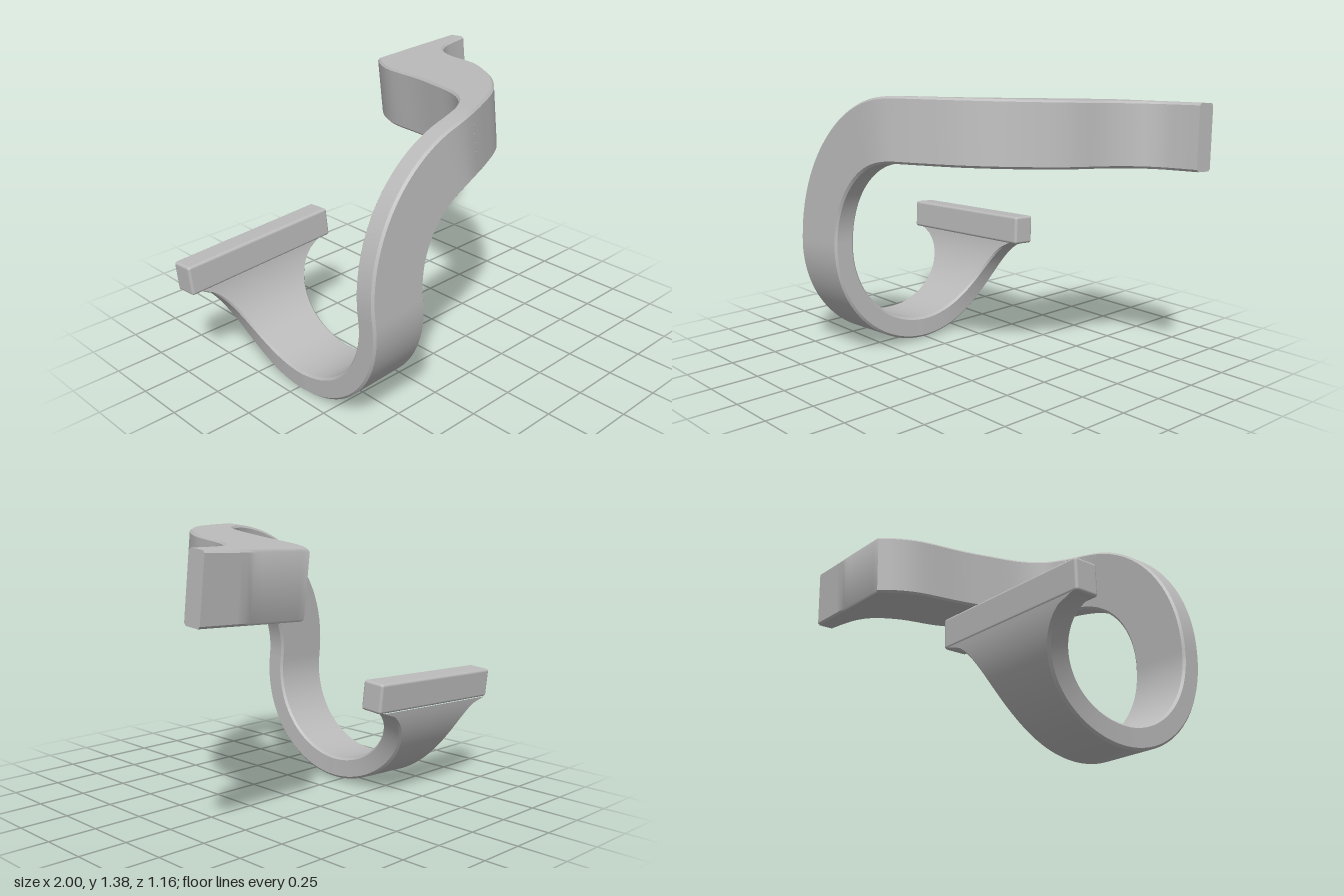
import * as THREE from 'three';
import { toCreasedNormals } from 'three/addons/utils/BufferGeometryUtils.js';
import { RoundedBoxGeometry } from 'three/addons/geometries/RoundedBoxGeometry.js';

const V = (x, y, z) => new THREE.Vector3(x, y, z);
const CHAMFER = 0.011;

// Cut the four corners of a section so the band gets softened edges
function chamfer(corners) {
  const out = [];
  corners.forEach((p, i) => {
    for (const q of [corners[(i + 3) % 4], corners[(i + 1) % 4]]) {
      out.push(p.clone().lerp(q, CHAMFER / p.distanceTo(q)));
    }
  });
  return out;
}

// Skin a row of four-cornered sections (corners counter-clockwise about the travel direction)
function loft(sections, capEnd = false) {
  const rings = sections.map(chamfer);
  const pos = [], idx = [], n = 8;
  rings.forEach(r => r.forEach(p => pos.push(p.x, p.y, p.z)));
  for (let s = 0; s < rings.length - 1; s++) {
    for (let i = 0; i < n; i++) {
      const a = s * n + i, b = s * n + (i + 1) % n;
      idx.push(a, b, b + n, a, b + n, a + n);
    }
  }
  if (capEnd) {
    const e = (rings.length - 1) * n;
    for (let i = 1; i < n - 1; i++) idx.push(e, e + i, e + i + 1);
  }
  const g = new THREE.BufferGeometry();
  g.setAttribute('position', new THREE.Float32BufferAttribute(pos, 3));
  g.setIndex(idx);
  return toCreasedNormals(g, 0.6);
}

// Spline through plan points [x, z]
const planCurve = pts => new THREE.CatmullRomCurve3(pts.map(([x, z]) => V(x, 0, z)), false, 'catmullrom', 0.5);

// Upper arm: S-curved in plan, constant height, widening to a flat end
function armGeometry() {
  const inner = planCurve([[0.045, 0.47], [0.14, 0.405], [0.22, 0.285], [0.28, 0.095],
    [0.32, -0.06], [0.36, -0.28], [0.41, -0.40], [0.47, -0.485]]);
  const outer = planCurve([[0.045, 0.583], [0.16, 0.535], [0.34, 0.445], [0.48, 0.325], [0.58, 0.195],
    [0.66, 0.045], [0.71, -0.155], [0.78, -0.285], [0.86, -0.345], [0.95, -0.37], [1.05, -0.385]]);
  const sections = [], steps = 5;
  for (let k = 0; k <= 10 * steps; k++) {
    const u = k / steps;
    const i = u <= 7 ? inner.getPoint(u / 7) : V(0.47 + 0.58 * (u - 7) / 3, 0, -0.485);
    const o = outer.getPoint(u / 10);
    sections.push([V(i.x, 1.03, i.z), V(i.x, 1.345, i.z), V(o.x, 1.345, o.z), V(o.x, 1.03, o.z)]);
  }
  return loft(sections, true);
}

// Quarter bend in the front plane, easing backwards where it meets the arm
function bendGeometry() {
  const sections = [], steps = 28;
  for (let k = 0; k <= steps; k++) {
    const a = Math.PI / 2 * (1 + k / steps);
    const at = (r, z) => {
      const x = 0.045 + r * Math.cos(a);
      return V(x, 0.603 + r * Math.sin(a), z - 1.25 * Math.max(0, x + 0.12) ** 2);
    };
    sections.push([at(0.427, 0.505), at(0.427, 0.617), at(0.742, 0.617), at(0.742, 0.505)]);
  }
  return loft(sections);
}

// U-shaped hook, its rear side flaring out towards the end bar
function hookGeometry() {
  const cx = -0.5395, cy = 0.586, cz = 0.061, half = 0.1575;
  const sections = [[V(cx - half, 0.603, 0.505), V(cx + half, 0.603, 0.505),
    V(cx + half, 0.603, 0.617), V(cx - half, 0.603, 0.617)]];
  const steps = 64, end = Math.PI - 0.08;
  for (let k = 0; k <= steps; k++) {
    const a = end * k / steps;
    const at = (side, r) => {
      const y = cy - r * Math.sin(a);
      const t = a > Math.PI / 2 ? THREE.MathUtils.clamp((y - 0.08) / 0.46, 0, 1) : 0;
      return V(cx + side * (half + 0.26 * (1 - Math.sqrt(1 - t * t))), y, cz + r * Math.cos(a));
    };
    sections.push([at(-1, 0.444), at(1, 0.444), at(1, 0.556), at(-1, 0.556)]);
  }
  return loft(sections);
}

export function createModel() {
  const grey = new THREE.MeshStandardMaterial({ color: 0xbbbbbb });
  grey.name = 'plain grey';
  const model = new THREE.Group();
  model.name = 'hookBracket';
  const add = (name, geometry) => {
    const mesh = new THREE.Mesh(geometry, grey);
    mesh.name = name;
    model.add(mesh);
    return mesh;
  };

  add('upperArm', armGeometry());
  add('frontBend', bendGeometry());
  add('hook', hookGeometry());
  add('endBar', new RoundedBoxGeometry(0.87, 0.15, 0.124, 3, 0.014)).position.set(-0.535, 0.615, -0.428);

  // The whole bracket leans slightly back and to one side
  model.rotation.set(-0.07, 0, 0.046);
  return model;
}
